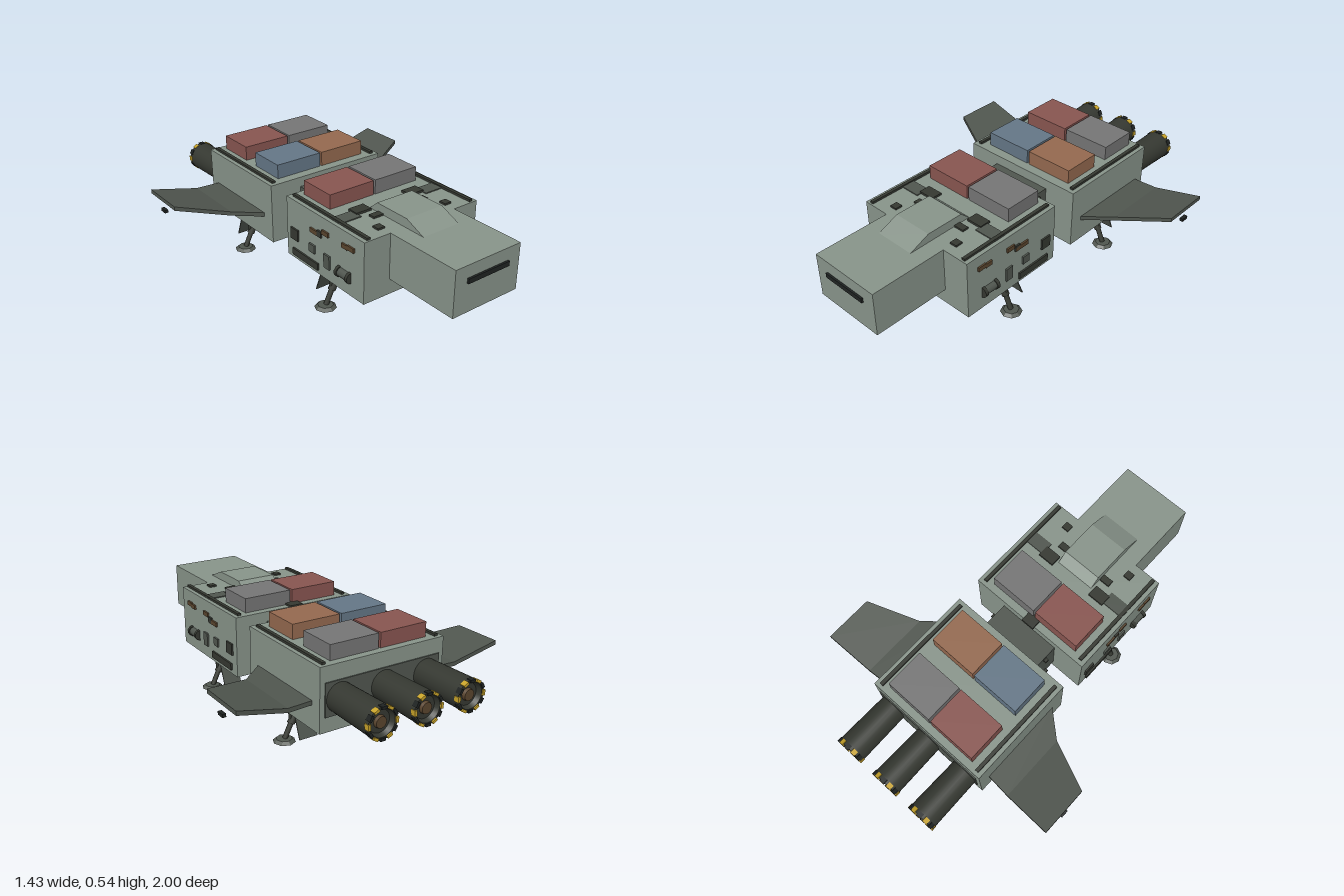
import * as THREE from 'three';

const mat = (color, extra = {}) => new THREE.MeshStandardMaterial({ color, ...extra });
const HULL = mat(0x88948a), GREY = mat(0x50564f), DARK = mat(0x353831), BLACK = mat(0x1f2322);
const YELLOW = mat(0xc9a42a), BROWN = mat(0x5a452e), RED = mat(0x885550), CRATE = mat(0x757575);
const BLUE = mat(0x647686), ORANGE = mat(0x94694f);

export function createModel() {
  const root = new THREE.Group();

  const add = (name, geo, material, x = 0, y = 0, z = 0, parent = root) => {
    const m = new THREE.Mesh(geo, material);
    m.name = name;
    m.position.set(x, y, z);
    parent.add(m);
    return m;
  };
  // box given by its centre and size
  const box = (name, material, x, y, z, w, h, d, parent) =>
    add(name, new THREE.BoxGeometry(w, h, d), material, x, y, z, parent);
  // rod between two points
  const rod = (name, material, a, b, r0, r1, parent, sides = 10) => {
    const p = new THREE.Vector3(...a), q = new THREE.Vector3(...b), dir = q.clone().sub(p);
    const m = add(name, new THREE.CylinderGeometry(r1, r0, dir.length(), sides), material, 0, 0, 0, parent);
    m.position.copy(p).add(q).multiplyScalar(0.5);
    m.quaternion.setFromUnitVectors(new THREE.Vector3(0, 1, 0), dir.normalize());
    return m;
  };
  const sides = [1, -1];

  // hull sections, nose and the coupling between the hulls
  box('frontHull', HULL, 0, 0.316, 0.304, 0.67, 0.308, 0.58);
  box('rearHull', HULL, 0, 0.316, -0.408, 0.67, 0.308, 0.58);
  box('nose', HULL, 0, 0.355, 0.79, 0.38, 0.23, 0.40);
  box('coupling', GREY, 0, 0.315, -0.052, 0.33, 0.21, 0.14);
  for (const s of sides) for (const y of [0.23, 0.395])
    box('couplingLatch', DARK, s * 0.17, y, -0.055, 0.02, 0.015, 0.02);

  // cockpit fairing: side profile extruded across x
  const profile = new THREE.Shape([[0.345, 0.465], [0.4, 0.515], [0.6, 0.515], [0.72, 0.465]]
    .map(([z, y]) => new THREE.Vector2(-z, y)));
  const fairing = new THREE.ExtrudeGeometry(profile, { depth: 0.21, bevelEnabled: false });
  fairing.translate(0, 0, -0.105).rotateY(Math.PI / 2);
  add('cockpitFairing', fairing, HULL);

  // windscreen slot and nose guns
  box('windscreen', BLACK, 0, 0.397, 0.99, 0.24, 0.024, 0.02);
  for (const x of [-0.143, -0.06, 0.057, 0.14]) {
    const gun = new THREE.Group();
    gun.name = 'noseGun';
    root.add(gun);
    rod('barrel', DARK, [x, 0.221, 0.81], [x, 0.221, 0.945], 0.009, 0.009, gun);
    rod('muzzle', YELLOW, [x, 0.221, 0.94], [x, 0.221, 0.952], 0.011, 0.011, gun);
    box('mount', DARK, x, 0.235, 0.85, 0.014, 0.025, 0.04, gun);
  }

  // cargo crates in pairs
  for (const [z, right, left] of [[0.153, RED, CRATE], [-0.27, BLUE, ORANGE], [-0.56, RED, CRATE]]) {
    box('cargoCrate', right, -0.133, 0.505, z, 0.255, 0.075, 0.202);
    box('cargoCrate', left, 0.133, 0.505, z, 0.255, 0.075, 0.202);
  }

  // roof rails and roof equipment
  for (const s of sides) {
    box('frontRoofRail', DARK, s * 0.305, 0.473, 0.31, 0.018, 0.016, 0.55);
    box('rearRoofRail', DARK, s * 0.305, 0.473, -0.41, 0.018, 0.016, 0.54);
    box('roofDuct', GREY, s * 0.255, 0.471, 0.365, 0.12, 0.008, 0.07);
    box('roofHatch', DARK, s * 0.16, 0.474, 0.345, 0.085, 0.014, 0.06);
    box('roofVent', DARK, s * 0.135, 0.473, 0.43, 0.055, 0.012, 0.035);
    box('roofVent', DARK, s * 0.2, 0.473, 0.525, 0.038, 0.012, 0.038);
  }
  box('roofClamp', DARK, 0, 0.472, 0.025, 0.07, 0.016, 0.05);
  box('roofSpine', DARK, 0, 0.473, 0.11, 0.02, 0.012, 0.12);

  // side equipment: material, z, y, depth, height
  const fittings = [
    [BROWN, 0.507, 0.403, 0.045, 0.022], [BROWN, 0.465, 0.398, 0.04, 0.022],
    [BROWN, 0.323, 0.4, 0.048, 0.022], [BROWN, 0.25, 0.375, 0.085, 0.022],
    [DARK, 0.278, 0.38, 0.03, 0.03], [GREY, 0.333, 0.26, 0.042, 0.07],
    [GREY, 0.22, 0.28, 0.042, 0.042], [DARK, 0.08, 0.295, 0.058, 0.058],
    [DARK, 0.165, 0.2, 0.2, 0.035],
  ];
  for (const s of sides) {
    for (const [m, z, y, d, h] of fittings) box('sideFitting', m, s * 0.336, y, z, 0.016, h, d);
    rod('sideTank', GREY, [s * 0.335, 0.253, 0.425], [s * 0.335, 0.253, 0.495], 0.023, 0.023);
    for (const z of [0.422, 0.498])
      rod('tankCap', DARK, [s * 0.335, 0.253, z - 0.008], [s * 0.335, 0.253, z + 0.008], 0.028, 0.028);
  }

  // belly hatch with rungs
  box('bellyHatch', BLACK, 0, 0.161, 0.085, 0.05, 0.006, 0.14);
  for (let i = 0; i < 4; i++) box('bellyRung', DARK, 0, 0.156, 0.035 + i * 0.033, 0.045, 0.012, 0.015);

  // swept wings: x, y, leading z, trailing z at each section
  const sections = [[0.33, 0.288, -0.185, -0.64], [0.46, 0.288, -0.298, -0.65], [0.71, 0.347, -0.41, -0.662]];
  const wing = (s) => {
    const pos = [], index = [], t = 0.0105;
    for (const [x, y, zf, zb] of sections)
      for (const [dy, z] of [[t, zf], [t, zb], [-t, zb], [-t, zf]]) pos.push(s * x, y + dy, z);
    const quad = (a, b, c, d) => (s > 0 ? index.push(a, b, c, a, c, d) : index.push(a, c, b, a, d, c));
    for (let i = 0; i < 2; i++)
      for (let j = 0; j < 4; j++) {
        const k = (j + 1) % 4;
        quad(i * 4 + j, i * 4 + 4 + j, i * 4 + 4 + k, i * 4 + k);
      }
    quad(8, 11, 10, 9);
    const g = new THREE.BufferGeometry();
    g.setAttribute('position', new THREE.Float32BufferAttribute(pos, 3));
    g.setIndex(index);
    const flat = g.toNonIndexed();
    flat.computeVertexNormals();
    return flat;
  };
  const wingMaterial = mat(0x50564f, { flatShading: true, side: THREE.DoubleSide });
  for (const s of sides) {
    add(s > 0 ? 'leftWing' : 'rightWing', wing(s), wingMaterial);
    box('wingLight', BLACK, s * 0.706, 0.29, -0.533, 0.018, 0.016, 0.04);
  }

  // engines with rim markings
  box('enginePlate', GREY, 0, 0.315, -0.698, 0.62, 0.16, 0.012);
  const shell = [[0.07, 0], [0.0745, 0.27], [0.0745, 0.27], [0.0745, 0.293], [0.0745, 0.293],
    [0.062, 0.293], [0.062, 0.293], [0.052, 0.27], [0.052, 0.27], [0, 0.27]]
    .map(([r, h]) => new THREE.Vector2(r, h));
  const shellMaterial = mat(0x353831, { side: THREE.DoubleSide });
  for (const x of [-0.235, 0, 0.235]) {
    const engine = new THREE.Group();
    engine.name = 'engine';
    engine.position.set(x, 0.315, -0.7);
    engine.rotation.x = -Math.PI / 2;
    root.add(engine);
    add('engineShell', new THREE.LatheGeometry(shell, 28), shellMaterial, 0, 0, 0, engine);
    add('exhaust', new THREE.CylinderGeometry(0.026, 0.03, 0.02, 16), BROWN, 0, 0.275, 0, engine);
    for (let i = 0; i < 12; i++) {
      const a = (i / 12) * Math.PI * 2;
      const tab = box('rimMark', i % 2 ? YELLOW : BLACK, Math.sin(a) * 0.07, 0.287, Math.cos(a) * 0.07,
        0.026, 0.026, 0.013, engine);
      tab.rotation.y = a;
    }
  }

  // landing legs with bay, door, strut, brace and foot
  for (const z of [0.305, -0.405]) for (const s of sides) {
    const leg = new THREE.Group();
    leg.name = 'landingLeg';
    leg.position.z = z;
    root.add(leg);
    box('legBay', BLACK, s * 0.262, 0.161, 0, 0.1, 0.006, 0.11, leg);
    for (const e of sides) box('bayMark', YELLOW, s * 0.262 + e * 0.04, 0.158, 0.05, 0.015, 0.006, 0.012, leg);
    const door = box('bayDoor', GREY, s * 0.262, 0.098, -0.078, 0.095, 0.122, 0.005, leg);
    door.rotation.x = 0.37;
    rod('upperStrut', DARK, [s * 0.25, 0.165, 0], [s * 0.292, 0.08, 0], 0.019, 0.019, leg);
    rod('lowerStrut', DARK, [s * 0.285, 0.095, 0], [s * 0.325, 0.012, 0], 0.013, 0.013, leg);
    rod('brace', DARK, [s * 0.3, 0.165, 0], [s * 0.292, 0.075, 0], 0.008, 0.008, leg);
    box('strutCollar', DARK, s * 0.256, 0.15, 0, 0.05, 0.018, 0.09, leg);
    const foot = new THREE.CylinderGeometry(0.038, 0.054, 0.014, 8);
    add('foot', foot, mat(0x50564f, { flatShading: true }), s * 0.328, 0.007, 0, leg);
  }

  return root;
}
